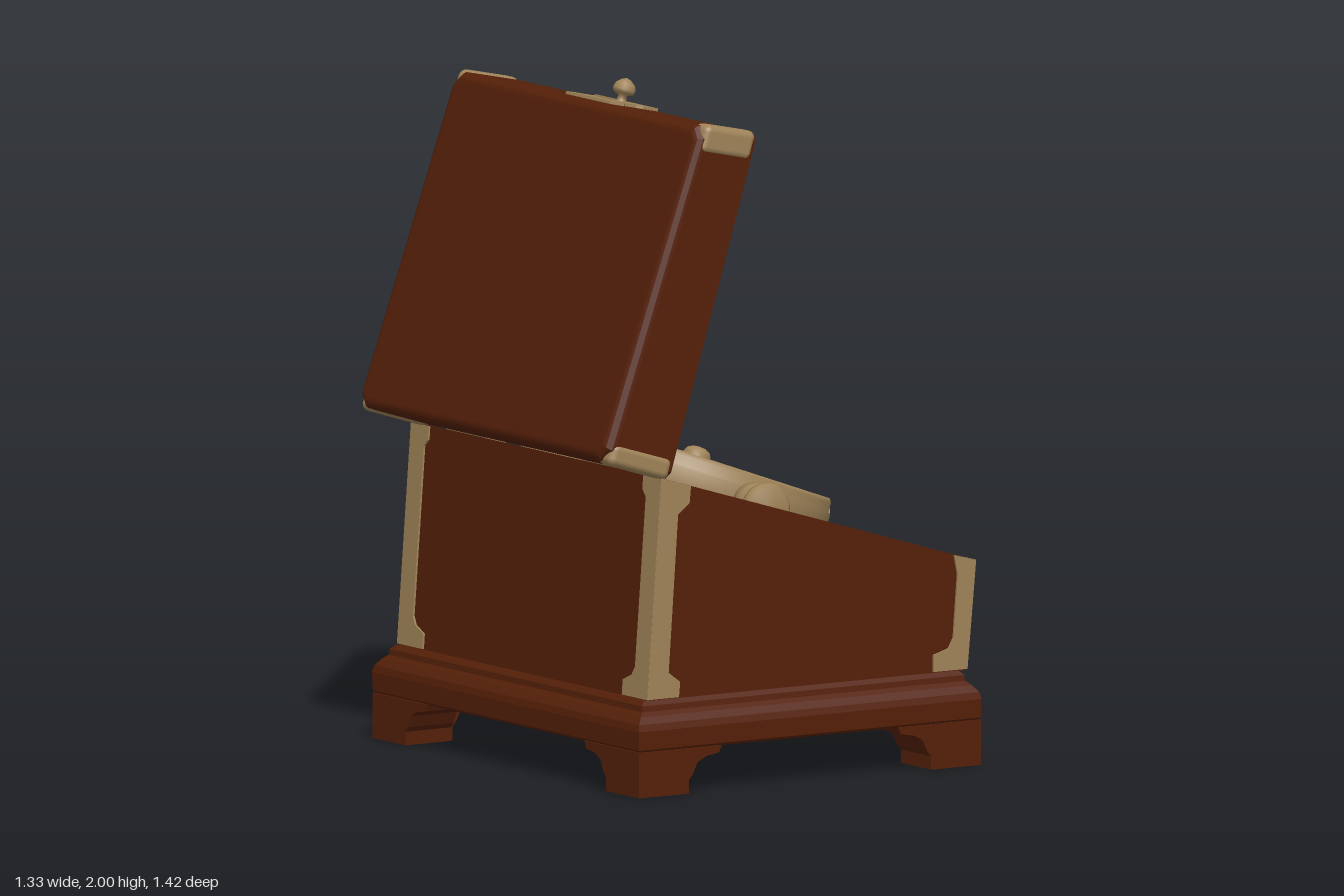
import * as THREE from 'three';
import { RoundedBoxGeometry } from 'three/addons/geometries/RoundedBoxGeometry.js';

const wood = new THREE.MeshStandardMaterial({ color: 0x552008 });
const brass = new THREE.MeshStandardMaterial({ color: 0xa08459 });
wood.name = 'mahogany';
brass.name = 'brass';

function add(parent, name, geo, mat, x = 0, y = 0, z = 0) {
  const m = new THREE.Mesh(geo, mat);
  m.name = name;
  m.position.set(x, y, z);
  parent.add(m);
  return m;
}
function group(parent, name, x, y, z, yaw = 0, tilt = 0) {
  const g = new THREE.Group();
  g.name = name;
  g.position.set(x, y, z);
  g.rotation.set(0, yaw, tilt);
  parent.add(g);
  return g;
}
const shapeOf = (pts) => new THREE.Shape(pts.map(([x, y]) => new THREE.Vector2(x, y)));
const slab = (pts, depth) =>
  new THREE.ExtrudeGeometry(shapeOf(pts), { depth, bevelEnabled: false });
const lathe = (pts, seg = 32) =>
  new THREE.LatheGeometry(pts.map(([r, y]) => new THREE.Vector2(r, y)), seg);
const PLATE = 0.006;

// Rectangular moulding: a profile of [half depth, height] carried round four sides
function moulding(profile) {
  const pos = [];
  const corner = ([h, y], k) => {
    const s = [[1, 1], [1, -1], [-1, -1], [-1, 1]][k % 4];
    return [s[0] * (h - 0.11), y, s[1] * h];
  };
  for (let i = 0; i + 1 < profile.length; i++) {
    for (let k = 0; k < 4; k++) {
      const a = corner(profile[i], k), b = corner(profile[i], k + 1);
      const c = corner(profile[i + 1], k + 1), d = corner(profile[i + 1], k);
      pos.push(...a, ...b, ...c, ...a, ...c, ...d);
    }
  }
  const g = new THREE.BufferGeometry();
  g.setAttribute('position', new THREE.Float32BufferAttribute(pos, 3));
  g.computeVertexNormals();
  return g;
}

function buildBase(root) {
  const base = group(root, 'base', 0.018, 0, 0);
  add(base, 'baseMoulding', moulding([
    [0.11, 0.132], [0.7, 0.132], [0.707, 0.14], [0.709, 0.195], [0.704, 0.215],
    [0.688, 0.235], [0.674, 0.247], [0.672, 0.264], [0.66, 0.277], [0.11, 0.282],
  ]), wood);
  // Bracket feet, two scrolled plates meeting at each corner
  const outline = [[0, 0], [0, 0.134], [-0.29, 0.134], [-0.28, 0.113], [-0.235, 0.106],
    [-0.205, 0.09], [-0.188, 0.055], [-0.175, 0.04], [-0.175, 0]];
  [[1, 1], [1, -1], [-1, -1], [-1, 1]].forEach(([sx, sz], k) => {
    const foot = group(base, 'bracketFoot', sx * 0.598, 0, sz * 0.708, k * Math.PI / 2);
    add(foot, 'footPlateLong', slab(outline, 0.16), wood, 0, 0, -0.16);
    add(foot, 'footPlateShort', slab(outline, 0.16).rotateY(-Math.PI / 2), wood);
  });
}

// Small turned knob pointing up
const knobGeo = () => lathe([[0.024, 0], [0.014, 0.01], [0.013, 0.026], [0.03, 0.033],
  [0.034, 0.045], [0.029, 0.06], [0.014, 0.073], [0, 0.078]], 20);

function buildBody(root) {
  const body = group(root, 'body', 0, 0, 0);
  const side = [[-0.517, 0.275], [0.59, 0.275], [0.62, 0.6], [-0.468, 0.93]];
  for (const z of [-0.66, 0.58]) add(body, 'sideWall', slab(side, 0.08), wood, 0, 0, z);
  add(body, 'frontWall', slab([[0.59, 0.275], [0.62, 0.6], [0.55, 0.621], [0.525, 0.275]], 1.16), wood, 0, 0, -0.58);
  add(body, 'backWall', slab([[-0.517, 0.275], [-0.46, 0.275], [-0.42, 0.915], [-0.468, 0.93]], 1.16), wood, 0, 0, -0.58);
  add(body, 'floor', new THREE.BoxGeometry(1.04, 0.03, 1.18), wood, 0.03, 0.3, 0);

  // Brass corner straps: one leaf on each side, one on the end
  const backLeaf = [[-0.522, 0.28], [-0.412, 0.28], [-0.408, 0.325], [-0.448, 0.355],
    [-0.415, 0.82], [-0.375, 0.85], [-0.37, 0.9], [-0.473, 0.931]];
  const frontLeaf = [[0.596, 0.28], [0.478, 0.28], [0.478, 0.33], [0.53, 0.345],
    [0.547, 0.375], [0.562, 0.56], [0.55, 0.62], [0.626, 0.598]];
  for (const s of [1, -1]) {
    const z = s > 0 ? 0.66 : -0.66 - PLATE;
    add(body, 'backCornerStrap', slab(backLeaf, PLATE), brass, 0, 0, z);
    add(body, 'frontCornerStrap', slab(frontLeaf, PLATE), brass, 0, 0, z);
    const end = (h) => slab([[0.665, 0], [0.53, 0], [0.53, 0.045], [0.575, 0.065],
      [0.59, 0.09], [0.59, h - 0.06], [0.57, h - 0.04], [0.57, h], [0.665, h]]
      .map(([a, b]) => [a * s, b]), PLATE).rotateY(Math.PI / 2);
    add(body, 'frontCornerStrap', end(0.322), brass, 0.59, 0.28, 0).rotation.z = -0.092;
    add(body, 'backCornerStrap', end(0.65), brass, -0.523, 0.28, 0).rotation.z = -0.075;
    // Hinge leaf and barrel
    add(body, 'hingeLeaf', new THREE.BoxGeometry(0.07, 0.008, 0.21), brass, -0.415, 0.918, s * 0.405).rotation.z = -0.295;
    add(body, 'hingeBarrel', new THREE.CylinderGeometry(0.016, 0.016, 0.21, 16).rotateX(Math.PI / 2), brass, -0.438, 0.932, s * 0.405);
  }

  // Front catch
  const plate = [[-0.13, 0], [-0.12, -0.05], [-0.122, -0.09], [-0.11, -0.1],
    [0.11, -0.1], [0.122, -0.09], [0.12, -0.05], [0.13, 0]];
  add(body, 'catchPlate', slab(plate, 0.009).rotateY(Math.PI / 2), brass, 0.618, 0.607, 0).rotation.z = -0.092;
  add(body, 'catchTop', new THREE.BoxGeometry(0.035, 0.008, 0.26), brass, 0.608, 0.606, 0).rotation.z = -0.295;
  add(body, 'catchKnob', knobGeo().scale(0.95, 0.65, 0.95).rotateZ(-Math.PI / 2), brass, 0.616, 0.56, 0);
}

function buildLid(root) {
  // Local frame: y runs up the lid, x = 0 is its open rim
  const lid = group(root, 'lid', -0.442, 0.925, 0, 0, -0.3);
  const H = 1.04;
  // The lid thins towards its free end, which slopes down to the back
  const taper = (geo) => {
    const p = geo.attributes.position;
    for (let i = 0; i < p.count; i++) {
      const t = p.getY(i) / H, x = p.getX(i) * (1.11 - 0.22 * t);
      p.setXYZ(i, x, p.getY(i) + 0.09 * x * t, p.getZ(i));
    }
    return geo;
  };
  const outline = (d) => {
    const w = 0.66 - d, b = d, t = H - d, c = 0.02;
    return [[-w + c, b], [w - c, b], [w, b + c], [w, t - c], [w - c, t], [-w + c, t], [-w, t - c], [-w, b + c]];
  };
  const frame = shapeOf(outline(0));
  frame.holes.push(shapeOf([[-0.6, 0.065], [-0.6, 0.975], [0.6, 0.975], [0.6, 0.065]]));
  add(lid, 'lidFrame', taper(new THREE.ExtrudeGeometry(frame, { depth: 0.18, bevelEnabled: false })
    .rotateY(Math.PI / 2).translate(-0.18, 0, 0)), wood);
  add(lid, 'lidPanel', taper(new THREE.ExtrudeGeometry(shapeOf(outline(0.03)), {
    depth: 0.01, bevelThickness: 0.03, bevelSize: 0.03, bevelSegments: 5,
  }).rotateY(Math.PI / 2).translate(-0.19, 0, 0)), wood);

  for (const s of [1, -1]) {
    for (const [y, h] of [[0.028, 0.07], [H - 0.038, 0.088]]) {
      add(lid, 'lidCornerCap', taper(new RoundedBoxGeometry(0.2, h, 0.075, 3, 0.022)
        .translate(-0.102, y, s * 0.628)), brass);
    }
    add(lid, 'hingeLeaf', new THREE.BoxGeometry(0.009, 0.085, 0.21), brass, 0.002, 0.047, s * 0.405);
  }
  const plate = [[0, -0.13], [-0.06, -0.13], [-0.075, -0.115], [-0.12, -0.115], [-0.135, -0.13], [-0.18, -0.12],
    [-0.18, 0.12], [-0.135, 0.13], [-0.12, 0.115], [-0.075, 0.115], [-0.06, 0.13], [0, 0.13]];
  add(lid, 'claspPlate', taper(slab(plate, 0.009).rotateX(-Math.PI / 2).translate(0, H, 0)), brass);
  add(lid, 'claspBar', new THREE.BoxGeometry(0.012, 0.012, 0.1), brass, -0.1, H, 0);
  add(lid, 'claspKnob', knobGeo(), brass, -0.045, H - 0.004, 0);
}

function buildCompass(root) {
  const yaw = -0.15;
  // Gimbal ring and its two pivots
  const ring = group(root, 'gimbalRing', 0.053, 0.79, 0, yaw, -0.3);
  add(ring, 'ringBand', lathe([[0.455, -0.09], [0.485, -0.095], [0.497, -0.082], [0.497, -0.022],
    [0.487, -0.01], [0.455, -0.01], [0.455, -0.09]], 64), brass);
  for (const s of [1, -1]) {
    add(ring, 'pivotKnob', lathe([[0.038, 0.41], [0.04, 0.448], [0.064, 0.453], [0.066, 0.49], [0.056, 0.502],
      [0.056, 0.53], [0.073, 0.538], [0.075, 0.557], [0.062, 0.572], [0, 0.578]], 28)
      .rotateX(s * Math.PI / 2), brass);
    add(ring, 'ringPin', new THREE.CylinderGeometry(0.018, 0.018, 0.05, 14).rotateZ(Math.PI / 2), brass, s * 0.48, -0.045, 0);
  }

  // Bowl with raised rim
  const bowl = group(root, 'compassBowl', 0.088, 0.868, 0, yaw, -0.345);
  add(bowl, 'bowl', lathe([[0, -0.4], [0.12, -0.39], [0.24, -0.34], [0.33, -0.26], [0.38, -0.16], [0.392, -0.11],
    [0.418, -0.105], [0.424, -0.095], [0.424, -0.045], [0.416, -0.04], [0.416, -0.012], [0.408, 0],
    [0.375, 0], [0.362, -0.012], [0.354, -0.035], [0.35, -0.085]], 64), brass);
  // Dial with shallow radial flutes
  const dial = lathe([[0.355, -0.07], [0.28, -0.07], [0.2, -0.067], [0.12, -0.064], [0.05, -0.062], [0, -0.062]], 112);
  const p = dial.attributes.position;
  for (let i = 0; i < p.count; i++) {
    const x = p.getX(i), z = p.getZ(i), r = Math.hypot(x, z), a = Math.atan2(z, x);
    const fade = Math.sin(Math.PI * Math.min(1, r / 0.355));
    p.setY(i, p.getY(i) + 0.004 * fade * (Math.sin(14 * a) + 0.7 * Math.sin(5 * a)));
  }
  dial.computeVertexNormals();
  add(bowl, 'dial', dial, brass);
  add(bowl, 'dialKnob', lathe([[0.064, -0.075], [0.062, -0.042], [0.055, -0.03], [0.042, -0.026],
    [0.042, 0.002], [0.034, 0.017], [0.018, 0.025], [0, 0.027]], 28), brass);
  for (const s of [1, -1]) {
    add(bowl, 'bowlPin', new THREE.CylinderGeometry(0.024, 0.024, 0.06, 16).rotateZ(Math.PI / 2), brass, s * 0.428, -0.048, 0);
  }
}

export function createModel() {
  const root = new THREE.Group();
  root.name = 'boxedCompass';
  buildBase(root);
  buildBody(root);
  buildLid(root);
  buildCompass(root);
  return root;
}
